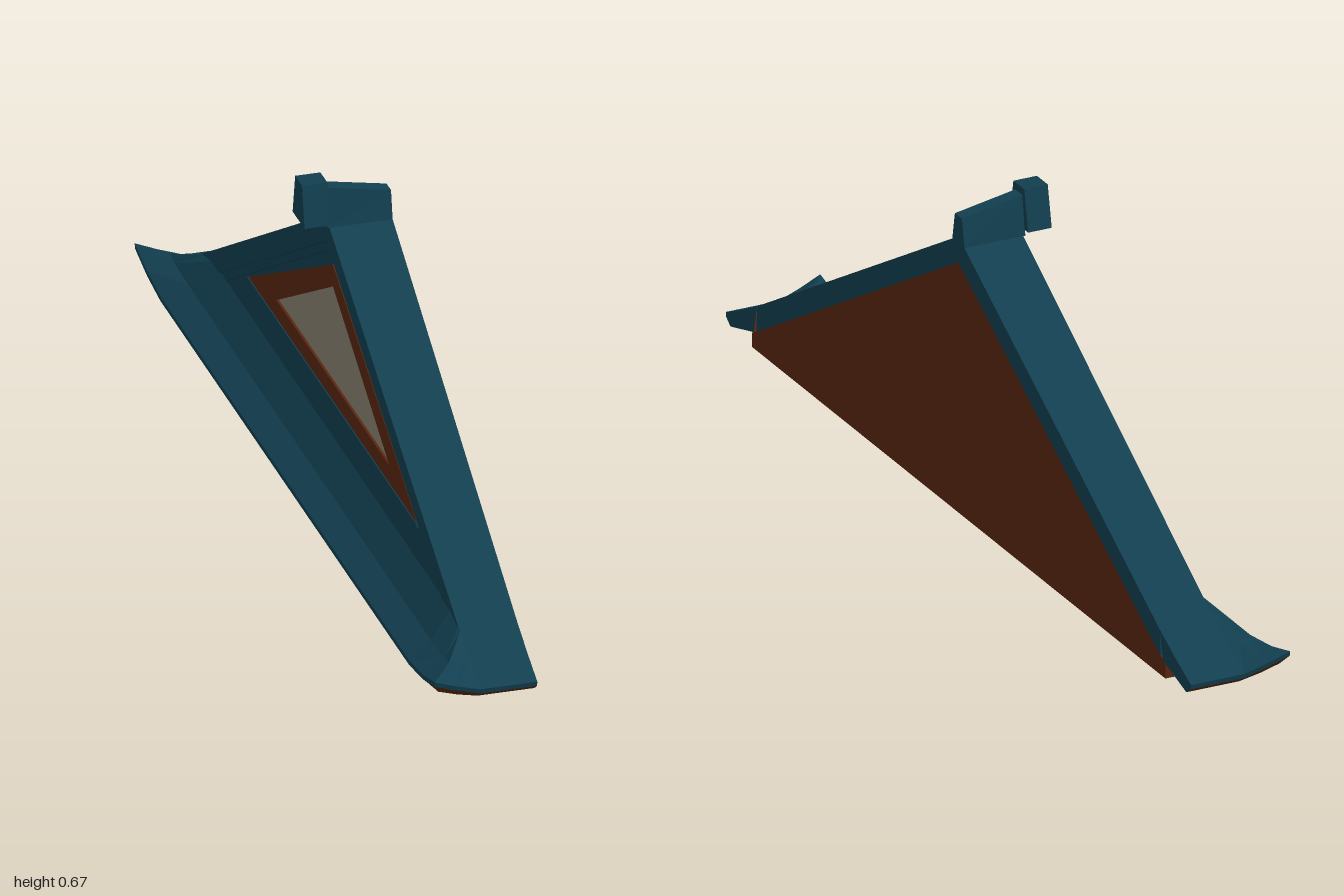
import * as THREE from 'three';

const mat = (name, color) => new THREE.MeshStandardMaterial({ name, color, flatShading: true, side: THREE.DoubleSide });

export function createModel() {
  const group = new THREE.Group();
  const teal = mat('dark teal tile', 0x123f50);
  const brown = mat('brown timber', 0x5a2710);
  const cream = mat('grey plaster', 0x8a8272);

  const add = (name, geo, material) => {
    const mesh = new THREE.Mesh(geo, material);
    mesh.name = name;
    group.add(mesh);
    return mesh;
  };

  // Outline in the z-y plane, given for one half and mirrored, swept from x0 to x1
  const toShape = (pts) => new THREE.Shape(pts.map(([z, y]) => new THREE.Vector2(z, y)));
  const sweep = (pts, x0, x1, hole) => {
    const shape = toShape(pts);
    if (hole) shape.holes.push(toShape(hole));
    return new THREE.ExtrudeGeometry(shape, { depth: x1 - x0, bevelEnabled: false })
      .rotateY(Math.PI / 2).translate(x0, 0, 0);
  };
  const tri = (half, y0, y1) => [[-half, y0], [half, y0], [0, y1]];
  const trapezoid = (bottom, top, y0, y1) => [[-bottom, y0], [bottom, y0], [top, y1], [-top, y1]];

  // Main roof slopes, their front edge leaning forward towards the ridge
  const slopes = sweep([[0, 0.585], [-0.857, 0.095], [-0.86, 0.04], [0, 0.53], [0.86, 0.04], [0.857, 0.095]], -0.01, 0.105);
  const sp = slopes.attributes.position;
  for (let i = 0; i < sp.count; i++) {
    if (sp.getX(i) < 0) sp.setX(i, -0.01 - 0.022 * sp.getY(i));
  }
  slopes.computeVertexNormals();
  add('roofSlopes', slopes, teal);

  // Inner verge strip below the slopes
  add('vergeTrim', sweep([[0, 0.535], [-0.82, 0.066], [-0.78, 0.066], [0, 0.512], [0.78, 0.066], [0.82, 0.066]], -0.008, 0.03), teal);

  // Gable wall, back panel and base
  add('gableWall', sweep(tri(0.82, 0.06, 0.53), 0.002, 0.06), teal);
  add('backPanel', sweep([[-0.88, 0], [0.88, 0], [0.88, 0.03], [0, 0.53], [-0.88, 0.03]], 0.06, 0.1045), brown);
  add('wallBase', new THREE.BoxGeometry(0.09, 0.055, 1.76).translate(0.015, 0.0275, 0), brown);

  // Triangular gable window
  add('windowFrame', sweep(tri(0.563, 0.184, 0.477), -0.008, 0.01, tri(0.377, 0.222, 0.43)), brown);
  add('windowPane', sweep(tri(0.39, 0.217, 0.435), -0.003, 0.004), cream);
  add('windowSill', new THREE.BoxGeometry(0.02, 0.007, 1.13).translate(0, 0.18, 0), teal);

  // Ridge beam, its top sloping down to the back
  const ridge = sweep(trapezoid(0.026, 0.015, 0.57, 0.652), -0.027, 0.105);
  const rp = ridge.attributes.position;
  for (let i = 0; i < rp.count; i++) {
    if (rp.getY(i) > 0.6 && rp.getX(i) > 0) rp.setY(i, 0.628);
  }
  ridge.computeVertexNormals();
  add('ridgeBeam', ridge, teal);
  add('ridgeEndBlock', sweep(trapezoid(0.04, 0.023, 0.582, 0.667), -0.077, -0.026), teal);

  // Eave cross-sections: half of each row, from the back end round the corner to the front
  const inner = [[0.105, 0.095, 0.857], [-0.01, 0.095, 0.857], [-0.01, 0.095, 0.857],
    [-0.01, 0.095, 0.857], [-0.01, 0.098, 0.845], [-0.01, 0.11, 0.79]];
  const middle = [[0.105, 0.06, 0.925], [-0.01, 0.06, 0.925], [-0.032, 0.061, 0.93],
    [-0.055, 0.066, 0.93], [-0.055, 0.06, 0.9], [-0.055, 0.057, 0.81]];
  const edge = [[0.105, 0.03, 0.99], [-0.01, 0.03, 0.99], [-0.06, 0.046, 0.995],
    [-0.105, 0.063, 1], [-0.105, 0.042, 0.92], [-0.105, 0.03, 0.83]];
  const lip = edge.map(([x, y, z]) => [x, y - 0.01, z - 0.002]);
  const drip = [[0.105, 0.007, 0.97], [-0.01, 0.007, 0.97], [-0.052, 0.018, 0.975],
    [-0.092, 0.032, 0.98], [-0.092, 0.018, 0.91], [-0.09, 0.008, 0.82]];
  const soffit = [[0.105, 0.035, 0.87], [-0.01, 0.035, 0.87], [-0.02, 0.035, 0.87],
    [-0.028, 0.035, 0.87], [-0.028, 0.034, 0.86], [-0.028, 0.034, 0.8]];

  const flip = ([x, y, z]) => [x, y, -z];
  const wrap = (row) => [...row, ...row.map(flip).reverse()];
  const fromTriangles = (pts) => {
    const geo = new THREE.BufferGeometry();
    geo.setAttribute('position', new THREE.Float32BufferAttribute(pts.flat(), 3));
    geo.computeVertexNormals();
    return geo;
  };
  const loft = (...halves) => {
    const rows = halves.map(wrap), out = [];
    for (let r = 0; r + 1 < rows.length; r++) {
      for (let i = 0; i + 1 < rows[r].length; i++) {
        const a = rows[r][i], b = rows[r][i + 1], c = rows[r + 1][i + 1], d = rows[r + 1][i];
        out.push(a, b, c, a, c, d);
      }
    }
    return fromTriangles(out);
  };
  add('eaveTiles', loft(inner, middle, edge, lip), teal);
  add('eaveUnderside', loft(lip, drip, soffit), brown);

  // Flat end faces of the eaves at the back
  const section = [soffit, inner, middle, edge, lip, drip].map((row) => row[0]);
  for (const side of [1, -1]) {
    const pts = section.map(([x, y, z]) => [x, y, z * side]);
    const out = [];
    for (let i = 1; i + 1 < pts.length; i++) {
      if (side > 0) out.push(pts[0], pts[i], pts[i + 1]);
      else out.push(pts[0], pts[i + 1], pts[i]);
    }
    // Wind each face so that it looks towards the back
    const geo = fromTriangles(out);
    if (geo.attributes.normal.getX(0) < 0) {
      for (let i = 0; i < out.length; i += 3) [out[i + 1], out[i + 2]] = [out[i + 2], out[i + 1]];
    }
    add(side > 0 ? 'leftEaveEnd' : 'rightEaveEnd', fromTriangles(out), teal);
  }
  return group;
}
